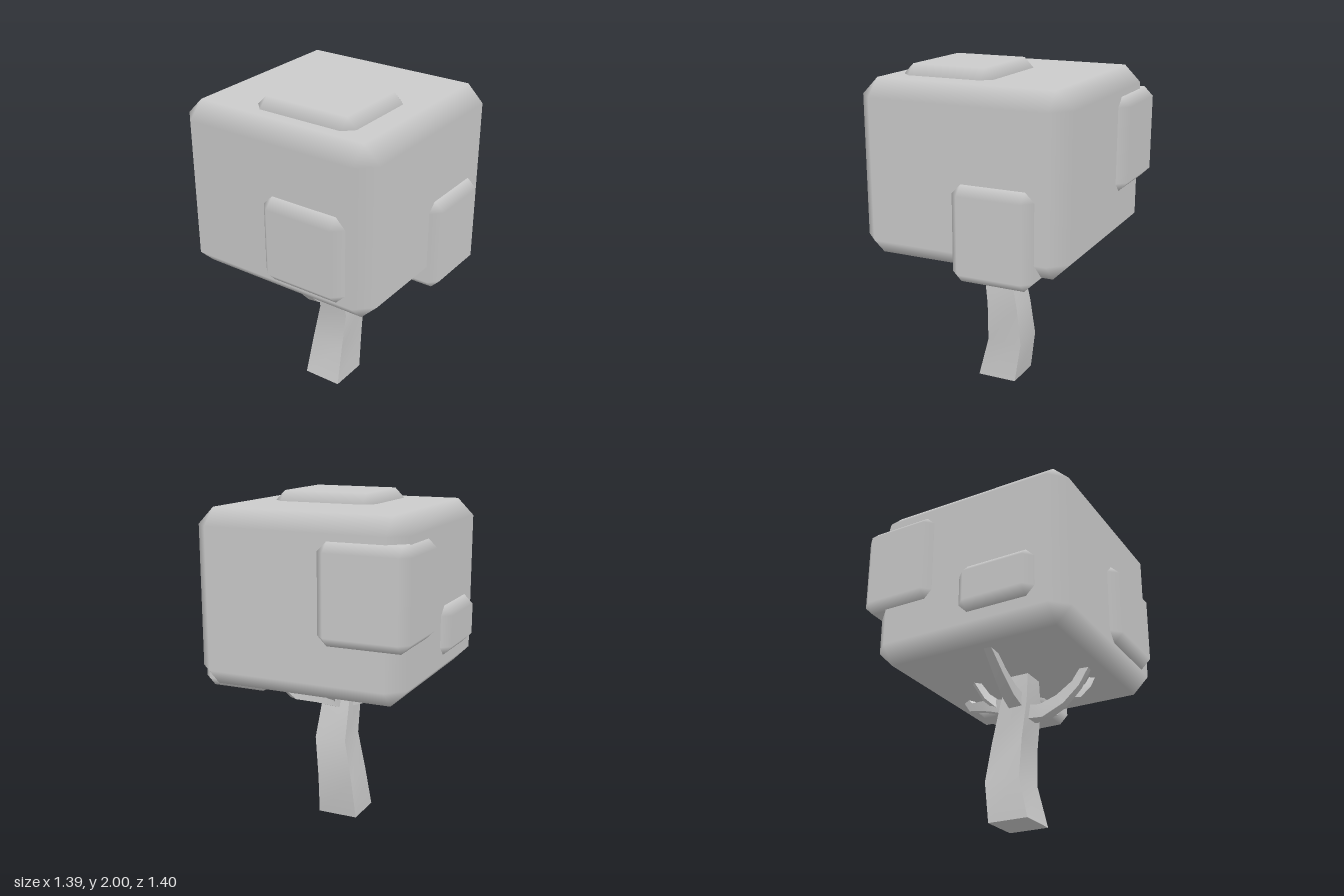
import * as THREE from 'three';
import { ConvexGeometry } from 'three/addons/geometries/ConvexGeometry.js';
import { toCreasedNormals } from 'three/addons/utils/BufferGeometryUtils.js';

const material = new THREE.MeshStandardMaterial({ color: 0xcccccc });

// Box between two corners with a single soft-shaded chamfer of size c
function chamferBox(name, min, max, c) {
  const lo = new THREE.Vector3(...min), hi = new THREE.Vector3(...max);
  const centre = lo.clone().add(hi).multiplyScalar(0.5);
  const half = hi.clone().sub(lo).multiplyScalar(0.5).toArray();
  const points = [];
  for (let axis = 0; axis < 3; axis++) {
    for (let i = 0; i < 8; i++) {
      const p = half.map((h, k) => (i >> k & 1 ? 1 : -1) * (k === axis ? h : h - c));
      points.push(new THREE.Vector3(...p));
    }
  }
  const geometry = new ConvexGeometry(points);
  // each corner keeps the normal of its flat side, so shading rolls over the chamfer
  const pos = geometry.attributes.position, normal = geometry.attributes.normal;
  for (let i = 0; i < pos.count; i++) {
    const p = [pos.getX(i), pos.getY(i), pos.getZ(i)];
    normal.setXYZ(i, ...p.map((v, k) => (Math.abs(v) > half[k] - c / 2 ? Math.sign(v) : 0)));
  }
  const mesh = new THREE.Mesh(geometry, material);
  mesh.name = name;
  mesh.position.copy(centre);
  return mesh;
}

// Four-sided limb through stations [x, y, z, half width]
function limb(name, stations, level = false) {
  const up = new THREE.Vector3(0, 1, 0);
  const pts = stations.map(s => new THREE.Vector3(s[0], s[1], s[2]));
  const verts = [], index = [], last = pts.length - 1;
  pts.forEach((p, i) => {
    const t = level ? up.clone()
      : pts[Math.min(i + 1, last)].clone().sub(pts[Math.max(i - 1, 0)]).normalize();
    const side = level ? new THREE.Vector3(1, 0, 0) : t.clone().cross(up).normalize();
    const over = t.clone().cross(side);
    for (const [a, b] of [[1, 1], [-1, 1], [-1, -1], [1, -1]]) {
      const h = stations[i][3];
      verts.push(...p.clone().addScaledVector(side, a * h).addScaledVector(over, b * h).toArray());
    }
    if (i === last) return;
    for (let k = 0; k < 4; k++) {
      const a = i * 4 + k, b = i * 4 + (k + 1) % 4;
      index.push(a, b, b + 4, a, b + 4, a + 4);
    }
  });
  const e = last * 4;
  index.push(0, 2, 1, 0, 3, 2, e, e + 1, e + 2, e, e + 2, e + 3);
  const geometry = new THREE.BufferGeometry();
  geometry.setAttribute('position', new THREE.Float32BufferAttribute(verts, 3));
  geometry.setIndex(index);
  const mesh = new THREE.Mesh(toCreasedNormals(geometry, 0.7), material);
  mesh.name = name;
  return mesh;
}

export function createModel() {
  const tree = new THREE.Group();
  tree.name = 'tree';

  // Canopy block with smaller leaf clumps sunk into its sides
  const foliage = new THREE.Group();
  foliage.name = 'foliage';
  foliage.add(
    chamferBox('canopy', [-0.64, 0.91, -0.645], [0.64, 1.94, 0.64], 0.1),
    chamferBox('topClump', [-0.485, 1.6, -0.245], [0.1, 2, 0.42], 0.067),
    chamferBox('frontClump', [-0.02, 0.855, 0.26], [0.47, 1.41, 0.7], 0.053),
    chamferBox('backLeftClump', [0.21, 1.235, -0.695], [0.695, 1.8, -0.155], 0.055),
    chamferBox('backClump', [-0.465, 1.075, -0.7], [0.025, 1.37, -0.4], 0.055),
    chamferBox('rightClump', [-0.7, 1.02, -0.04], [-0.4, 1.54, 0.5], 0.06)
  );

  // Crooked square trunk
  const trunk = limb('trunk', [
    [-0.02, 0, -0.025, 0.125],
    [0.028, 0.25, -0.022, 0.112],
    [0.025, 0.5, 0.015, 0.1],
    [-0.02, 0.73, 0.003, 0.09],
    [-0.045, 0.98, 0, 0.065]
  ], true);

  // Branches reaching up into the canopy
  const branches = new THREE.Group();
  branches.name = 'branches';
  branches.add(
    limb('rightBranch', [
      [-0.04, 0.68, 0, 0.045], [-0.17, 0.67, 0.01, 0.042], [-0.28, 0.73, 0.03, 0.035],
      [-0.38, 0.82, 0.04, 0.027], [-0.47, 0.97, 0.05, 0.022]
    ]),
    limb('rightTwig', [
      [-0.31, 0.77, 0.04, 0.02], [-0.34, 0.79, 0.12, 0.022],
      [-0.39, 0.86, 0.17, 0.018], [-0.43, 0.96, 0.2, 0.015]
    ]),
    limb('leftBranch', [
      [0, 0.72, 0.01, 0.045], [0.14, 0.77, 0.02, 0.04], [0.25, 0.81, 0.06, 0.032],
      [0.38, 0.85, 0.12, 0.026], [0.48, 0.96, 0.18, 0.02]
    ]),
    limb('leftTwig', [
      [0.13, 0.77, 0.01, 0.025], [0.2, 0.83, -0.03, 0.022], [0.26, 0.95, -0.1, 0.016]
    ]),
    limb('frontBranch', [
      [-0.03, 0.74, 0.03, 0.045], [-0.02, 0.77, 0.15, 0.042], [-0.03, 0.81, 0.28, 0.034],
      [-0.04, 0.84, 0.4, 0.026], [-0.06, 0.96, 0.52, 0.02]
    ]),
    limb('backBranch', [
      [-0.03, 0.73, -0.03, 0.045], [-0.04, 0.77, -0.18, 0.038], [-0.06, 0.83, -0.32, 0.03],
      [-0.07, 0.91, -0.44, 0.025], [-0.08, 0.97, -0.54, 0.02]
    ])
  );

  tree.add(foliage, trunk, branches);
  return tree;
}
